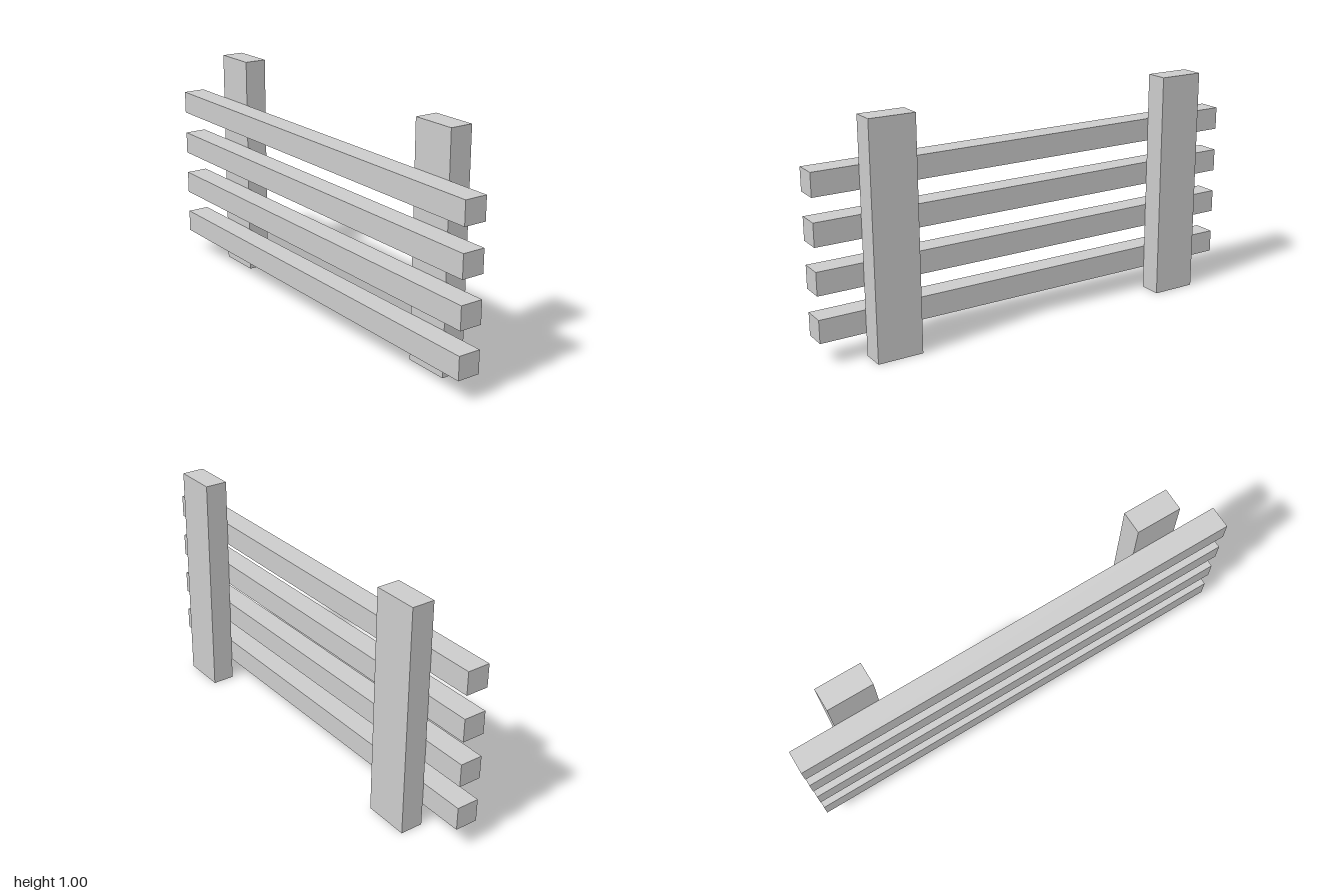
import * as THREE from 'three';

export function createModel() {
  const model = new THREE.Group();
  model.name = 'fence';
  const material = new THREE.MeshStandardMaterial({ color: 0xcccccc, flatShading: true });

  const addBox = (name, [w, h, d], [x, y, z]) => {
    const mesh = new THREE.Mesh(new THREE.BoxGeometry(w, h, d), material);
    mesh.name = name;
    mesh.position.set(x, y, z);
    model.add(mesh);
  };

  // Upright posts behind the rails
  for (const [name, side] of [['leftPost', 1], ['rightPost', -1]]) {
    addBox(name, [0.2, 1, 0.1], [side * 0.7, 0.5, -0.05]);
  }

  // Four evenly spaced horizontal rails on the front of the posts
  for (let i = 0; i < 4; i++) {
    addBox(`rail${i + 1}`, [2, 0.1, 0.1], [0, 0.15 + i * 0.2, 0.05]);
  }

  return model;
}
